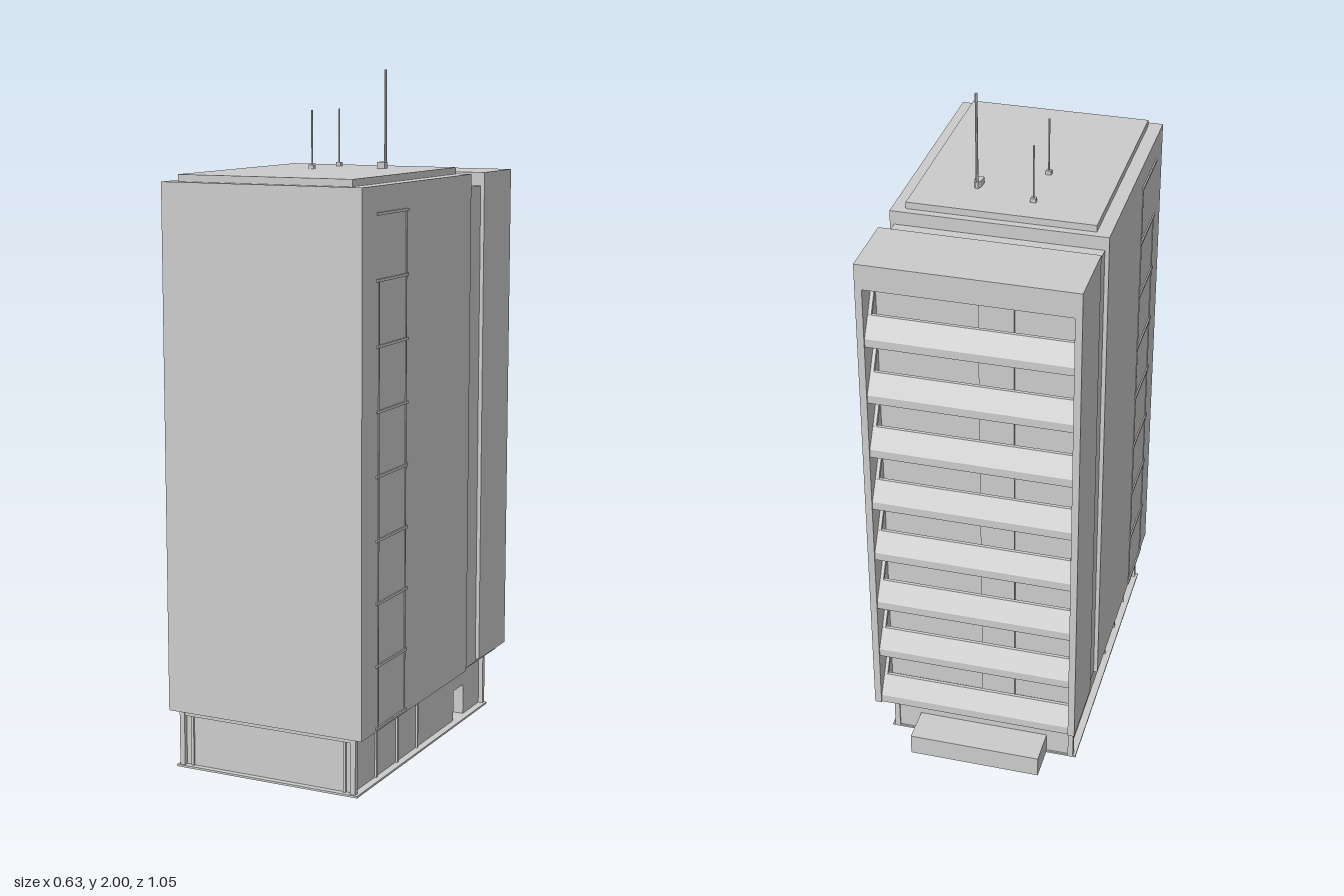
import * as THREE from 'three';

const mat = new THREE.MeshStandardMaterial({ color: 0xcccccc, flatShading: true });

// Box given by its min/max extents
function box(parent, name, x0, x1, y0, y1, z0, z1) {
  const m = new THREE.Mesh(new THREE.BoxGeometry(x1 - x0, y1 - y0, z1 - z0), mat);
  m.position.set((x0 + x1) / 2, (y0 + y1) / 2, (z0 + z1) / 2);
  m.name = name;
  parent.add(m);
  return m;
}

// Side profile of [z, y] points swept along x
function sweepX(parent, name, pts, x0, x1) {
  const shape = new THREE.Shape(pts.map(([z, y]) => new THREE.Vector2(-z, y)));
  const geo = new THREE.ExtrudeGeometry(shape, { depth: x1 - x0, bevelEnabled: false });
  geo.rotateY(Math.PI / 2);
  const m = new THREE.Mesh(geo, mat);
  m.position.x = x0;
  m.name = name;
  parent.add(m);
  return m;
}

function group(parent, name) {
  const g = new THREE.Group();
  g.name = name;
  parent.add(g);
  return g;
}

export function createModel() {
  const root = new THREE.Group();
  root.name = 'towerBlock';
  const W = 0.31, PITCH = 0.18, FIRST = 0.18, STOREYS = 8;

  // Ground floor: plinth, recessed walls, posts and an entrance niche
  const base = group(root, 'groundFloor');
  box(base, 'plinth', -0.292, 0.292, 0, 0.006, -0.42, 0.515);
  const plan = [[-0.27, -0.415], [0.27, -0.415], [0.27, -0.28], [0.19, -0.28],
    [0.19, -0.205], [0.27, -0.205], [0.27, 0.497], [-0.27, 0.497]];
  const lower = new THREE.ExtrudeGeometry(
    new THREE.Shape(plan.map(([x, z]) => new THREE.Vector2(x, -z))), { depth: 0.1, bevelEnabled: false });
  lower.rotateX(-Math.PI / 2);
  const walls = new THREE.Mesh(lower, mat);
  walls.name = 'groundWalls';
  base.add(walls);
  box(base, 'upperWalls', -0.27, 0.27, 0.1, 0.17, -0.415, 0.497);
  for (const s of [-1, 1]) {
    for (const z of [-0.42, 0.495]) {
      const x = s * 0.276;
      box(base, 'cornerPost', x - 0.008, x + 0.008, 0, 0.17, z, z + 0.015);
    }
    const x = s * 0.273;
    box(base, 'sideBeam', x - 0.008, x + 0.008, 0.155, 0.17, -0.415, 0.505);
    for (const z of [0.07, 0.21, 0.35]) box(base, 'mullion', x - 0.003, x + 0.003, 0, 0.16, z, z + 0.006);
    box(base, 'frontMullion', s * 0.246 - 0.004, s * 0.246 + 0.004, 0, 0.17, 0.49, 0.503);
  }
  box(base, 'frontBeam', -0.28, 0.28, 0.155, 0.17, 0.49, 0.508);

  // Low rear porch, hollow underneath
  const porch = group(root, 'rearPorch');
  box(porch, 'porchRoof', -0.2, 0.2, 0.055, 0.066, -0.525, -0.41);
  box(porch, 'porchFront', -0.2, 0.2, 0, 0.06, -0.525, -0.517);
  for (const s of [-1, 1]) box(porch, 'porchSide', s * 0.196 - 0.004, s * 0.196 + 0.004, 0, 0.06, -0.52, -0.41);

  // Main tower with roof slab, and the recessed connector behind it
  box(root, 'mainTower', -W, W, 0.17, 1.695, -0.21, 0.525);
  box(root, 'roofSlab', -0.27, 0.27, 1.695, 1.715, -0.187, 0.5);
  box(root, 'connector', -0.298, 0.298, 0.17, 1.655, -0.33, -0.2);

  // Side window strips: ledges at every floor, thin vertical frames between
  const strips = group(root, 'sideWindows');
  for (const s of [-1, 1]) {
    const edge = (name, t, y0, y1, z0, z1) =>
      box(strips, name, Math.min(s * (W - 0.002), s * (W + t)), Math.max(s * (W - 0.002), s * (W + t)), y0, y1, z0, z1);
    for (let i = 0; i <= STOREYS; i++) {
      const y = FIRST + i * PITCH;
      edge('ledge', 0.004, y - 0.004, y + 0.004, 0.235, 0.435);
      if (i === STOREYS) continue;
      edge('windowFrame', 0.002, y, y + PITCH, 0.243, 0.248);
      if (i < STOREYS - 1) edge('windowFrame', 0.002, y, y + PITCH, 0.418, 0.423);
    }
  }

  // Rear wing: side walls, inner wall, top and bottom
  const wing = group(root, 'rearWing');
  for (const s of [-1, 1]) box(wing, 'wingSide', s * 0.3 - 0.01, s * 0.3 + 0.01, 0.18, 1.695, -0.522, -0.31);
  box(wing, 'innerWall', -0.295, 0.295, 0.17, 1.69, -0.41, -0.311);
  box(wing, 'wingSoffit', -0.3, 0.3, 0.17, 0.185, -0.47, -0.31);
  box(wing, 'wingTop', -0.3, 0.3, 1.62, 1.695, -0.522, -0.31);

  // Balconies: floor slab, sloping parapet, slanted end struts, wall bay
  const balconies = group(root, 'balconies');
  for (let i = 0; i < STOREYS; i++) {
    const y = FIRST + i * PITCH;
    sweepX(balconies, 'balcony', [[-0.405, y], [-0.517, y], [-0.517, y + 0.025], [-0.483, y + 0.082],
      [-0.473, y + 0.082], [-0.5, y + 0.025], [-0.405, y + 0.025]], -0.292, 0.292);
    for (const x of [-0.292, 0.28]) {
      sweepX(balconies, 'endStrut', [[-0.485, y + 0.078], [-0.43, y + PITCH], [-0.415, y + PITCH],
        [-0.47, y + 0.078]], x, x + 0.012);
    }
    box(balconies, 'wallBay', -0.1, 0, y + 0.02, y + 0.15, -0.42, -0.4);
  }

  // Roof antennas
  const antennas = group(root, 'antennas');
  const mast = (x, z, top, r) => {
    const m = new THREE.Mesh(new THREE.CylinderGeometry(r, r, top - 1.71, 8), mat);
    m.position.set(x, (top + 1.71) / 2, z);
    m.name = 'mast';
    antennas.add(m);
  };
  for (const z of [0.08, -0.095]) {
    mast(-0.07, z, 1.885, 0.0025);
    box(antennas, 'mastFoot', -0.078, -0.062, 1.714, 1.727, z - 0.007, z + 0.007);
  }
  mast(0.103, -0.053, 2, 0.004);
  // Wedge-plan foot of the tall mast
  const foot = new THREE.Shape([[0.091, 0.02], [0.115, 0.02], [0.113, 0.047], [0.107, 0.06],
    [0.099, 0.06], [0.093, 0.047]].map(([x, y]) => new THREE.Vector2(x, y)));
  const footGeo = new THREE.ExtrudeGeometry(foot, { depth: 0.02, bevelEnabled: false });
  footGeo.rotateX(-Math.PI / 2);
  const footMesh = new THREE.Mesh(footGeo, mat);
  footMesh.position.y = 1.714;
  footMesh.name = 'tallMastFoot';
  antennas.add(footMesh);

  return root;
}
